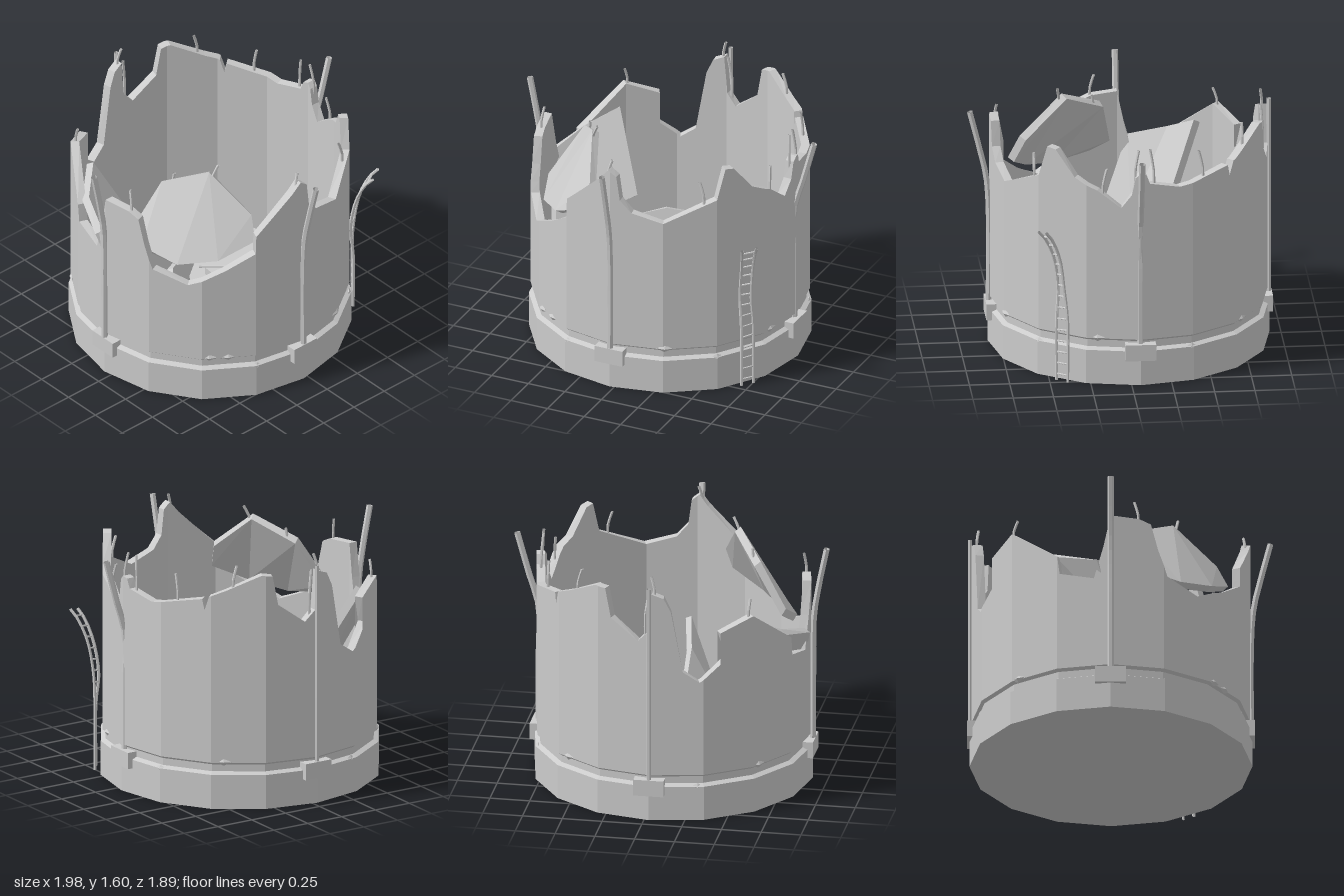
import * as THREE from 'three';

const CX = -0.03, CZ = -0.055, STEP = Math.PI / 8;
const mat = new THREE.MeshStandardMaterial({ color: 0xcccccc, flatShading: true, side: THREE.DoubleSide });
const V = (x, y, z) => new THREE.Vector3(x, y, z);

// point on a 16-sided ring, angle in degrees from +x towards +z
function ringPoint(r, deg, y) {
  const a = THREE.MathUtils.degToRad(deg);
  const m = ((a % STEP) + STEP) % STEP;
  const rr = r * Math.cos(STEP / 2) / Math.cos(m - STEP / 2);
  return V(CX + rr * Math.cos(a), y, CZ + rr * Math.sin(a));
}

// skin closed cross-sections, either joined in a circle or capped at both ends
function loft(sections, wrap) {
  const pos = [], n = sections[0].length;
  const tri = (a, b, c) => {
    if (V().crossVectors(b.clone().sub(a), c.clone().sub(a)).lengthSq() < 1e-14) return;
    for (const p of [a, b, c]) pos.push(p.x, p.y, p.z);
  };
  const count = wrap ? sections.length : sections.length - 1;
  for (let i = 0; i < count; i++) {
    const s = sections[i], t = sections[(i + 1) % sections.length];
    for (let k = 0; k < n; k++) {
      const j = (k + 1) % n;
      tri(s[k], s[j], t[j]);
      tri(s[k], t[j], t[k]);
    }
  }
  if (!wrap) {
    const s = sections[0], t = sections[sections.length - 1];
    for (let k = 1; k < n - 1; k++) {
      tri(s[0], s[k + 1], s[k]);
      tri(t[0], t[k], t[k + 1]);
    }
  }
  const g = new THREE.BufferGeometry();
  g.setAttribute('position', new THREE.Float32BufferAttribute(pos, 3));
  g.computeVertexNormals();
  return g;
}

export function createModel() {
  const model = new THREE.Group();
  const add = (geo, name, parent = model) => {
    const m = new THREE.Mesh(geo, mat);
    m.name = name;
    parent.add(m);
    return m;
  };
  const group = (name) => {
    const g = new THREE.Group();
    g.name = name;
    model.add(g);
    return g;
  };
  const rod = (pts, r, name, parent, seg = 10) =>
    add(new THREE.TubeGeometry(new THREE.CatmullRomCurve3(pts), seg, r, 6), name, parent);

  // broken rim: angle, height
  const rim = [
    [0, 1.39], [2, 1.36], [3.5, 1.25], [8, 1.16], [18, 1.27], [28, 1.34], [37, 1.5], [41, 1.51], [45, 1.31],
    [67.5, 1.17], [81, 1.22], [86, 1.3], [87.5, 1.46], [91, 1.5], [95, 1.43], [107, 1.27], [112.3, 1.2],
    [112.6, 1.07], [125, 0.96], [141, 0.85], [156, 0.93], [160, 1.1], [163, 1.27], [168, 1.3], [180, 1.31],
    [183, 1.1], [187, 0.89], [201.5, 0.94], [202.5, 1.06], [225, 1.3], [240, 1.22], [236.5, 1.05], [249, 0.91],
    [256, 0.98], [261, 1.38], [264, 1.47], [269, 1.5], [270.5, 1.25], [275, 1.18], [287, 1.31], [289.5, 1.5],
    [294, 1.51], [309, 1.41], [316, 1.37], [318, 1.28], [319, 1.35], [343, 1.28], [356, 1.32], [357.5, 1.38],
  ];
  // put in the corners of the 16-sided wall
  const stations = [];
  rim.forEach(([a, h], i) => {
    const [b, k] = i + 1 < rim.length ? rim[i + 1] : [360, rim[0][1]];
    stations.push([a, h]);
    for (let c = 0; c < 360; c += 22.5) {
      if (c > a + 0.01 && c < b - 0.01) stations.push([c, h + (k - h) * (c - a) / (b - a)]);
    }
  });
  add(loft(stations.map(([a, h]) => [
    V(CX, 0, CZ), ringPoint(0.875, a, 0), ringPoint(0.875, a, 0.22), ringPoint(0.845, a, 0.235),
    ringPoint(0.845, a, 0.28), ringPoint(0.864, a, 0.295), ringPoint(0.864, a, h),
    ringPoint(0.81, a, h), ringPoint(0.81, a, 0.12), V(CX, 0.12, CZ),
  ]), true), 'tankWall');

  // chips along the groove
  const chips = group('edgeChips');
  [[112, 0.21], [45, 0.215], [132, 0.305], [124, 0.3], [67, 0.3], [18, 0.3], [222, 0.3], [250, 0.215],
    [310, 0.3], [338, 0.215]].forEach(([a, y]) => {
    const m = add(new THREE.OctahedronGeometry(0.05), 'chip', chips);
    m.position.copy(ringPoint(0.86, a, y));
    m.rotation.y = Math.PI / 2 - THREE.MathUtils.degToRad(a);
    m.scale.set(1, 0.5, 0.35);
  });

  // clamp blocks and the upright pipes that rise out of them
  [
    [0, [[0.85, 0.2], [0.85, 0.7], [0.85, 1.02], [0.91, 1.23], [0.985, 1.5]], 0.02],
    [90, [[0.87, 0.2], [0.865, 0.7], [0.88, 1.06], [0.92, 1.25], [0.985, 1.51]], 0.02],
    [180, [[0.872, 0.2], [0.875, 0.7], [0.88, 1.08], [0.91, 1.28], [0.96, 1.53]], 0.02],
    [270, [[0.87, 0.2], [0.872, 0.8], [0.87, 1.2], [0.872, 1.54]], 0.015],
  ].forEach(([a, path, r]) => {
    const c = Math.cos(a * Math.PI / 180), s = Math.sin(a * Math.PI / 180);
    const box = add(new THREE.BoxGeometry(0.19, 0.105, 0.07), 'pipeClamp');
    box.position.set(CX + 0.855 * c, 0.217, CZ + 0.855 * s);
    box.rotation.y = Math.PI / 2 - a * Math.PI / 180;
    rod(path.map(([d, y]) => V(CX + d * c, y, CZ + d * s)), r, 'pipe', model, 14);
  });

  // bent ladder
  const ladder = group('ladder');
  const rails = [
    [[0.7, 0, 0.455], [0.7, 0.4, 0.455], [0.685, 0.6, 0.445], [0.71, 0.82, 0.475], [0.74, 0.95, 0.53], [0.76, 1.0, 0.57]],
    [[0.75, 0, 0.39], [0.75, 0.4, 0.39], [0.745, 0.6, 0.41], [0.77, 0.82, 0.44], [0.81, 0.96, 0.49], [0.84, 1.02, 0.53]],
  ].map((pts) => new THREE.CatmullRomCurve3(pts.map((p) => V(...p))));
  rails.forEach((c) => add(new THREE.TubeGeometry(c, 16, 0.01, 6), 'ladderRail', ladder));
  for (let i = 0; i < 14; i++) {
    const t = 0.04 + i * 0.07;
    rod([rails[0].getPointAt(t), rails[1].getPointAt(t)], 0.006, 'ladderRung', ladder, 1);
  }

  // reinforcing rods: base, bend and tip
  const rods = group('rebar');
  [[226, 1.26, 1.4], [268, 1.44, 1.6], [306, 1.38, 1.56], [331, 1.26, 1.48], [16, 1.2, 1.4], [50, 1.24, 1.42],
    [92, 1.4, 1.55], [168, 1.25, 1.43], [272, 1.2, 1.5], [354, 1.25, 1.53], [2, 1.3, 1.53]].forEach(([a, y, top], i) => {
    const side = i % 2 ? 1.5 : -1.5;
    rod([ringPoint(0.835, a, y), ringPoint(0.835, a, (y + top) / 2), ringPoint(0.82, a + side, top)],
      0.009, 'rebarRod', rods, 4);
  });
  rod([V(-0.38, 1.4, 0.34), V(-0.36, 1.47, 0.35), V(-0.33, 1.53, 0.36)], 0.009, 'rebarRod', rods, 4);
  rod([V(-0.5, 1.33, 0.12), V(-0.49, 1.42, 0.13)], 0.009, 'rebarRod', rods, 2);
  rod([V(0.15, 0.2, 0.25), V(0.17, 0.22, 0.58)], 0.009, 'rebarRod', rods, 2);
  rod([V(0.08, 0.2, -0.28), V(0.34, 0.22, -0.02)], 0.009, 'rebarRod', rods, 2);
  rod([V(0.22, 0.2, -0.67), V(0.36, 0.22, -0.65)], 0.009, 'rebarRod', rods, 2);

  // curved wall shards: two edges, thickened across their face
  const shard = (a, b, t, name) => {
    const A = a.map((p) => V(...p)), B = b.map((p) => V(...p)), last = A.length - 1;
    add(loft(A.map((p, i) => {
      const along = A[Math.min(i + 1, last)].clone().sub(A[Math.max(i - 1, 0)]);
      const n = along.cross(B[i].clone().sub(p)).normalize().multiplyScalar(t);
      return [p, B[i], B[i].clone().add(n), p.clone().add(n)];
    }), false), name);
  };
  shard([[-0.77, 1.0, 0.14], [-0.69, 0.95, 0.38], [-0.52, 1.0, 0.57], [-0.3, 1.1, 0.67]],
    [[-0.72, 1.08, 0.02], [-0.55, 1.36, 0.08], [-0.38, 1.48, 0.33], [-0.27, 1.25, 0.6]], -0.05, 'frontLeaningShard');
  shard([[-0.86, 1.02, -0.12], [-0.76, 1.1, -0.36], [-0.59, 1.2, -0.51]],
    [[-0.77, 0.62, 0.03], [-0.6, 0.62, -0.12], [-0.38, 0.72, -0.32]], 0.05, 'backLeaningShard');
  shard([[-0.6, 0.45, 0.05], [-0.42, 0.6, -0.23], [-0.2, 0.65, -0.36], [0.05, 0.6, -0.47]],
    [[-0.46, 0.13, 0.19], [-0.28, 0.13, 0], [-0.13, 0.13, -0.2], [0.1, 0.2, -0.34]], 0.05, 'innerShard');
  shard([[-0.37, 0.4, -0.02], [-0.28, 0.45, -0.12], [-0.1, 0.4, -0.22]],
    [[-0.33, 0.13, 0.04], [-0.23, 0.13, 0.02], [-0.1, 0.15, -0.12]], 0.04, 'smallShard');
  shard([[0.26, 0.3, 0.07], [0.34, 0.45, 0.18], [0.52, 0.45, 0.22], [0.72, 0.4, 0.2]],
    [[0.27, 0.13, 0.18], [0.37, 0.13, 0.31], [0.52, 0.13, 0.36], [0.66, 0.15, 0.32]], -0.04, 'rightShard');
  shard([[-0.06, 0.5, 0.25], [-0.05, 0.6, 0.45], [0, 0.7, 0.72]],
    [[-0.28, 0.14, 0.05], [-0.35, 0.14, 0.3], [-0.24, 0.14, 0.56]], 0.04, 'frontShard');
  shard([[0.35, 0.16, 0.02], [0.42, 0.2, -0.15], [0.57, 0.2, -0.07], [0.68, 0.16, 0.1]],
    [[0.35, 0.16, 0.08], [0.43, 0.36, 0.19], [0.53, 0.36, 0.2], [0.64, 0.2, 0.2]], -0.04, 'rightRidgeShard');

  // flat slabs on the floor, outlined in plan
  [
    [[-0.05, -0.65], [0.02, -0.8], [0.25, -0.83], [0.3, -0.65], [0.13, -0.48], [-0.03, -0.57]],
    [[0.08, 0], [0.1, -0.25], [0.33, -0.5], [0.37, -0.5], [0.33, -0.2], [0.15, 0.07]],
    [[0.02, 0.35], [0.17, 0.3], [0.28, 0.3], [0.32, 0.5], [0.3, 0.6], [0.17, 0.63], [0.02, 0.5]],
  ].forEach((plan) => {
    const shape = new THREE.Shape(plan.map(([x, z]) => new THREE.Vector2(x, -z)));
    const m = add(new THREE.ExtrudeGeometry(shape, { depth: 0.05, bevelEnabled: false }), 'floorSlab');
    m.rotation.x = -Math.PI / 2;
    m.position.y = 0.15;
  });
  return model;
}
